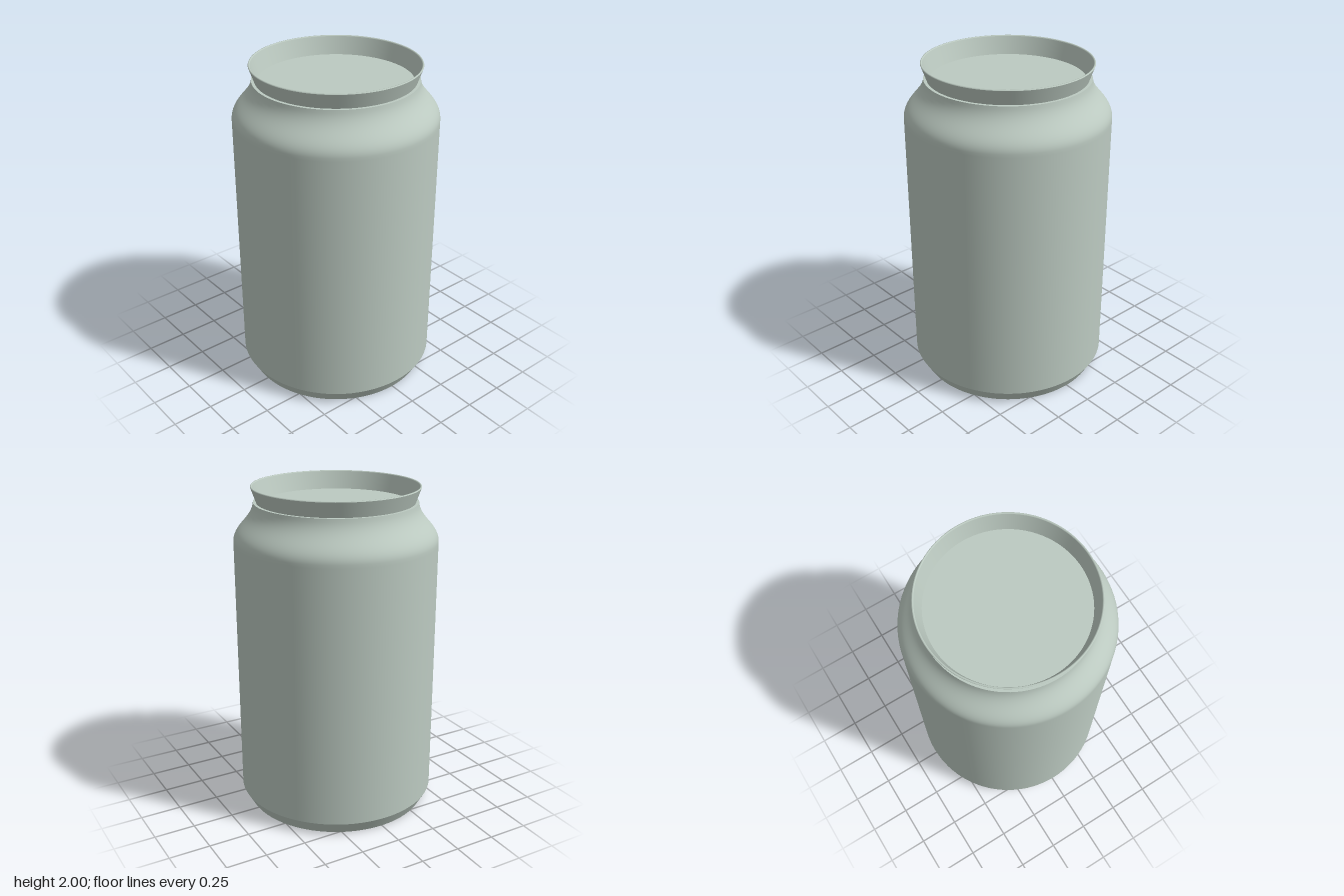
import * as THREE from 'three';

export function createModel() {
  const can = new THREE.Group();
  can.name = 'can';
  const metal = new THREE.MeshStandardMaterial({ color: 0xbccac1 });
  metal.name = 'paleMetal';

  // Each part is its own lathe, so the edges between parts stay sharp.
  const turn = (name, profile) => {
    const points = profile.map(([r, y]) => new THREE.Vector2(r, y));
    const mesh = new THREE.Mesh(new THREE.LatheGeometry(points, 96), metal);
    mesh.name = name;
    can.add(mesh);
  };

  // Base
  turn('bottom', [[0, 0], [0.565, 0]]);
  turn('bottomBevel', [[0.565, 0], [0.61, 0.08]]);

  // Straight wall flowing into an S-shaped shoulder
  const shoulder = new THREE.CubicBezierCurve(
    new THREE.Vector2(0.61, 1.68), new THREE.Vector2(0.605, 1.765),
    new THREE.Vector2(0.5, 1.8), new THREE.Vector2(0.488, 1.905));
  turn('body', [[0.61, 0.08], [0.61, 1.66],
    ...shoulder.getPoints(16).map((p) => [p.x, p.y])]);

  // Neck ledge, flared rim and sunken lid
  turn('neckLedge', [[0.488, 1.905], [0.47, 1.905]]);
  turn('rimOutside', [[0.47, 1.905], [0.502, 1.995]]);
  turn('rimEdge', [[0.502, 1.995], [0.5, 2], [0.494, 2], [0.491, 1.995]]);
  turn('rimInside', [[0.491, 1.995], [0.457, 1.89]]);
  turn('lid', [[0.457, 1.89], [0, 1.89]]);

  return can;
}
